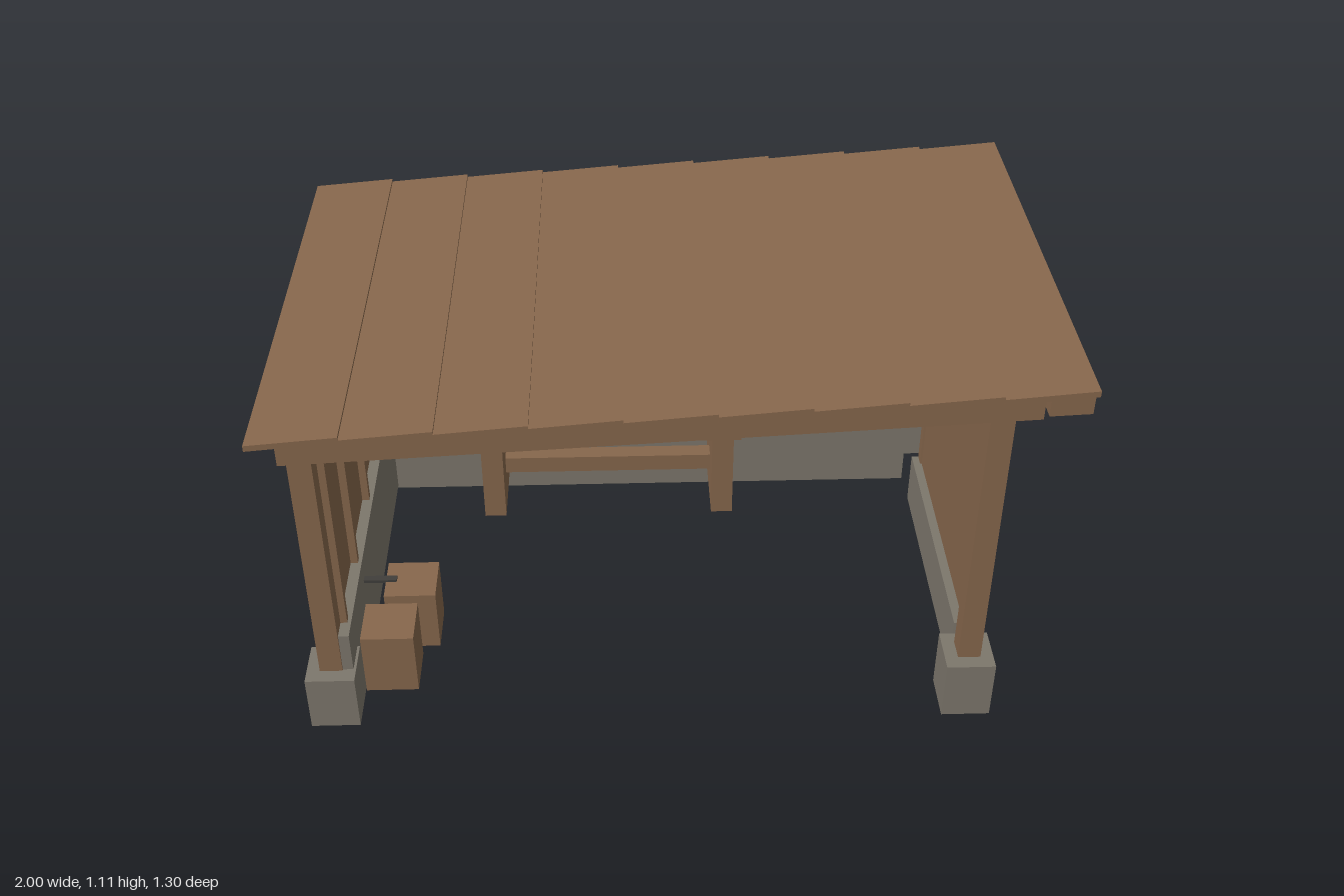
import * as THREE from 'three';

const mat = (name, color) => {
  const m = new THREE.MeshStandardMaterial({ color });
  m.name = name;
  return m;
};

export function createModel() {
  const wood = mat('wood', 0x87674c);
  const stone = mat('stone', 0x7d776c);
  const iron = mat('iron', 0x403e3b);
  const model = new THREE.Group();

  const section = (name) => {
    const g = new THREE.Group();
    g.name = name;
    model.add(g);
    return g;
  };
  // Box given by its limits on each axis
  const box = (parent, name, m, x0, x1, y0, y1, z0, z1) => {
    const mesh = new THREE.Mesh(new THREE.BoxGeometry(x1 - x0, y1 - y0, z1 - z0), m);
    mesh.position.set((x0 + x1) / 2, (y0 + y1) / 2, (z0 + z1) / 2);
    mesh.name = name;
    parent.add(mesh);
  };
  // Sloping slab: top edge runs from (xa, ya) to (xb, yb), with vertical thickness t
  const slab = (parent, name, xa, ya, xb, yb, t, z0, z1) => {
    const s = new THREE.Shape([[xa, ya - t], [xb, yb - t], [xb, yb], [xa, ya]]
      .map(([x, y]) => new THREE.Vector2(x, y)));
    const geo = new THREE.ExtrudeGeometry(s, { depth: z1 - z0, bevelEnabled: false });
    const mesh = new THREE.Mesh(geo, wood);
    mesh.position.z = z0;
    mesh.name = name;
    parent.add(mesh);
  };

  // Roof: lapped planks, deck, rafters and the high end board
  const roof = section('roof');
  const planks = 9, w = 2 / planks;
  const slope = (x) => 0.993 + 0.052 * (x + 1);
  for (let i = 0; i < planks; i++) {
    const xa = -1 + i * w, xb = xa + w;
    slab(roof, 'roofPlank', xa, slope(xa), xb, slope(xb) + 0.008, 0.016, -0.65, 0.65);
  }
  slab(roof, 'roofDeck', -0.94, 0.97, 0.89, 1.066, 0.037, -0.6, 0.6);
  for (const z of [0.58, 0.36, 0.033, -0.317, -0.58]) {
    slab(roof, 'rafter', -0.94, 0.934, 0.89, 1.03, 0.038, z - 0.02, z + 0.02);
  }
  slab(roof, 'endBoard', 0.89, 1.082, 0.993, 1.087, 0.053, -0.64, 0.64);

  // Posts on stone footings, with a cross beam on each side
  const frame = section('frame');
  const posts = [
    [-0.893, 0.55, 0.04, 0.92], [0.8, 0.55, 0.03, 1.0],
    [-0.893, -0.55, 0.08, 0.92], [0.8, -0.55, 0.087, 1.0],
  ];
  for (const [x, z, low, top] of posts) {
    box(frame, 'post', wood, x - 0.03, x + 0.03, 0.19, top, z - 0.03, z + 0.03);
    const fz = z + Math.sign(z) * 0.003;
    box(frame, 'footing', stone, x - 0.065, x + 0.065, low, 0.203, fz - 0.066, fz + 0.066);
  }
  box(frame, 'lowSideBeam', wood, -0.92, -0.865, 0.885, 0.932, -0.53, 0.53);
  box(frame, 'highSideBeam', wood, 0.775, 0.825, 0.975, 1.03, -0.58, 0.58);

  // Back and left walls: stone below, timber above, studs inside
  const walls = section('walls');
  box(walls, 'backStoneWall', stone, -0.845, 0.79, 0, 0.32, -0.56, -0.47);
  box(walls, 'leftStoneWall', stone, -0.92, -0.835, 0.01, 0.32, -0.555, 0.575);
  box(walls, 'backWallPanel', wood, -0.87, 0.775, 0.32, 0.925, -0.55, -0.52);
  box(walls, 'leftWallPanel', wood, -0.9, -0.865, 0.32, 0.9, -0.53, 0.53);
  for (const x of [-0.785, -0.435, -0.085, 0.28, 0.63]) {
    box(walls, 'backStud', wood, x - 0.01, x + 0.01, 0.32, 0.925, -0.52, -0.487);
  }
  for (const z of [0.512, 0.27, -0.01, -0.29, -0.5]) {
    box(walls, 'leftStud', wood, -0.866, -0.845, 0.32, 0.91, z - 0.01, z + 0.01);
  }

  // Partial right wall with iron bands
  const side = section('rightWall');
  box(side, 'rightStoneWall', stone, 0.78, 0.855, 0.052, 0.213, -0.302, 0.457);
  box(side, 'shortBoards', wood, 0.805, 0.835, 0.213, 0.843, 0.2, 0.42);
  box(side, 'tallBoards', wood, 0.805, 0.835, 0.213, 0.864, -0.265, 0.2);
  box(side, 'frontUpright', wood, 0.8, 0.84, 0.213, 0.878, 0.42, 0.455);
  box(side, 'rearUpright', wood, 0.8, 0.84, 0.213, 0.878, -0.3, -0.265);
  for (const y of [0.816, 0.59, 0.232]) {
    box(side, 'ironBand', iron, 0.835, 0.848, y - 0.01, y + 0.01, -0.302, 0.457);
  }

  // Sign board with balance scales
  const sign = section('sign');
  box(sign, 'signBoard', wood, 0.835, 0.856, 0.613, 0.8, 0.085, 0.36);
  const plate = (name, y0, y1, z0, z1) => box(sign, name, iron, 0.856, 0.865, y0, y1, z0, z1);
  plate('scaleBar', 0.744, 0.759, 0.12, 0.325);
  plate('scaleColumn', 0.655, 0.766, 0.215, 0.23);
  plate('scaleFoot', 0.645, 0.656, 0.19, 0.255);
  for (const z of [0.304, 0.14]) {
    plate('scaleHanger', 0.69, 0.75, z - 0.004, z + 0.004);
    plate('scalePan', 0.68, 0.694, z - 0.032, z + 0.032);
  }

  // Workbench
  const bench = section('workbench');
  for (let i = 0; i < 3; i++) {
    const z = -0.455 + i * 0.0935;
    box(bench, 'benchPlank', wood, -0.57, 0.24, 0.38, 0.417, z, z + 0.091);
  }
  for (const x of [-0.503, 0.187]) {
    box(bench, 'benchLeg', wood, x - 0.032, x + 0.032, 0.097, 0.38, -0.44, -0.195);
  }
  box(bench, 'benchStretcher', wood, -0.48, 0.16, 0.19, 0.243, -0.34, -0.29);

  // Strongbox, weights and stand on the bench
  const tools = section('benchTools');
  box(tools, 'strongbox', wood, -0.468, -0.277, 0.417, 0.523, -0.408, -0.26);
  box(tools, 'strongboxLid', wood, -0.472, -0.273, 0.521, 0.53, -0.414, -0.255);
  box(tools, 'clasp', iron, -0.395, -0.35, 0.47, 0.505, -0.261, -0.253);
  box(tools, 'tray', wood, -0.235, -0.075, 0.417, 0.428, -0.32, -0.21);
  [[-0.207, 0.447], [-0.16, 0.456], [-0.115, 0.468]].forEach(([x, top]) => {
    box(tools, 'weight', iron, x - 0.015, x + 0.015, 0.428, top, -0.28, -0.25);
  });
  box(tools, 'standFoot', iron, -0.027, 0.057, 0.417, 0.43, -0.325, -0.225);
  box(tools, 'standColumn', iron, 0.006, 0.024, 0.43, 0.587, -0.284, -0.266);
  box(tools, 'standTop', wood, -0.018, 0.048, 0.587, 0.61, -0.325, -0.225);

  // Storage crates
  const crates = section('crates');
  box(crates, 'frontCrate', wood, -0.815, -0.675, 0.09, 0.275, 0.4, 0.54);
  box(crates, 'rearCrate', wood, -0.77, -0.63, 0.09, 0.275, 0.23, 0.37);
  box(crates, 'ironStrap', iron, -0.83, -0.74, 0.272, 0.281, 0.29, 0.31);

  return model;
}
